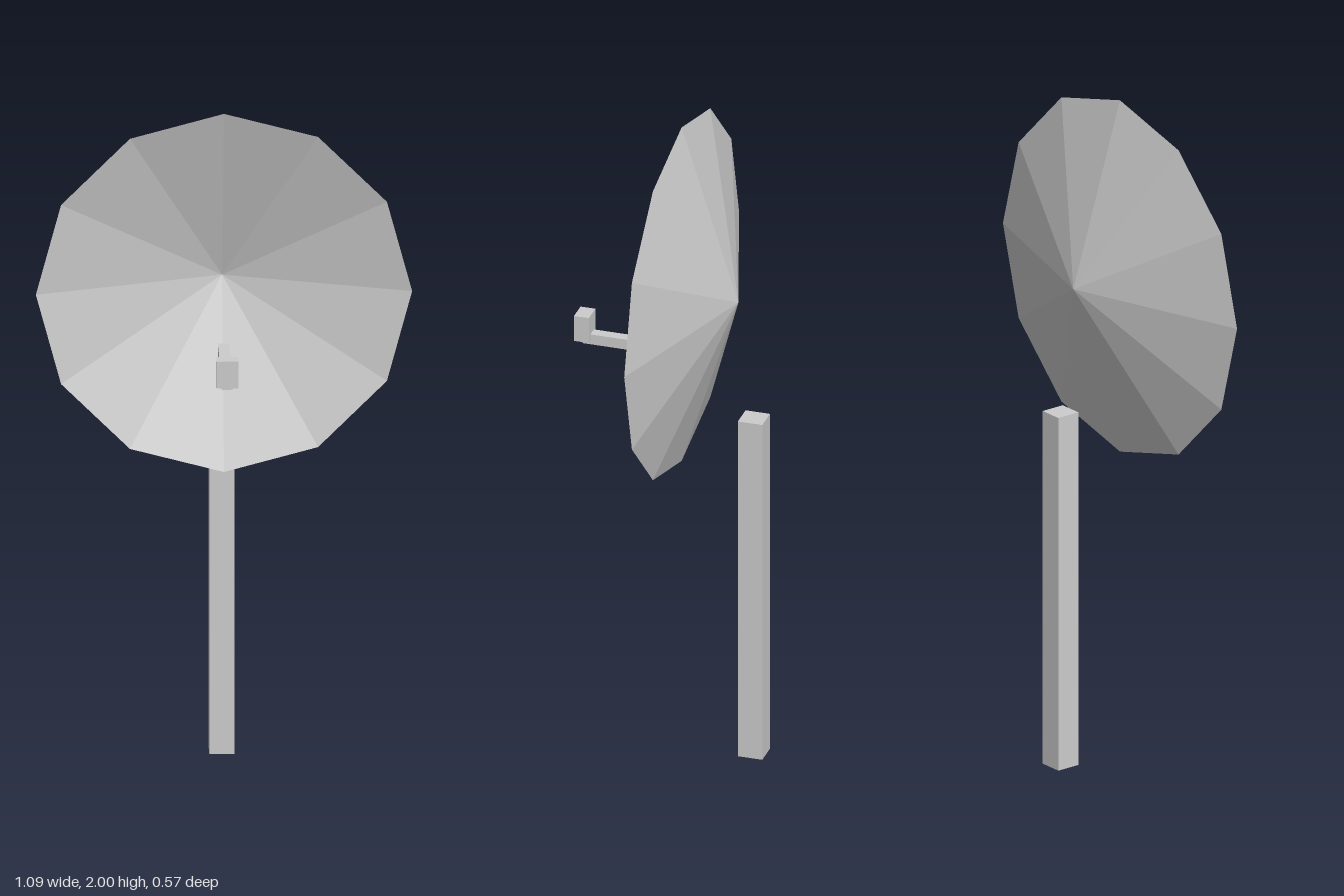
import * as THREE from 'three';

export function createModel() {
  const group = new THREE.Group();
  const grey = new THREE.MeshStandardMaterial({ color: 0xcccccc, flatShading: true, side: THREE.DoubleSide });
  grey.name = 'grey';

  // Box spanning y0..y1 and z0..z1, centred on x
  const addBox = (name, width, y0, y1, z0, z1) => {
    const mesh = new THREE.Mesh(new THREE.BoxGeometry(width, y1 - y0, z1 - z0), grey);
    mesh.position.set(0, (y0 + y1) / 2, (z0 + z1) / 2);
    mesh.name = name;
    group.add(mesh);
  };

  // Upright post behind the dish
  addBox('post', 0.073, 0, 1.09, -0.286, -0.212);

  // Open, twelve-sided conical dish with its apex at the back
  const rimZ = -0.03, depth = 0.172;
  const dishGeometry = new THREE.ConeGeometry(0.543, depth, 12, 1, true);
  dishGeometry.rotateX(-Math.PI / 2);
  const dish = new THREE.Mesh(dishGeometry, grey);
  dish.position.set(0, 1.457, rimZ - depth / 2);
  dish.name = 'dish';
  group.add(dish);

  // Receiver arm and the receiver at its tip
  addBox('receiverArm', 0.033, 1.259, 1.291, -0.07, 0.265);
  addBox('receiver', 0.062, 1.27, 1.351, 0.241, 0.286);

  return group;
}
